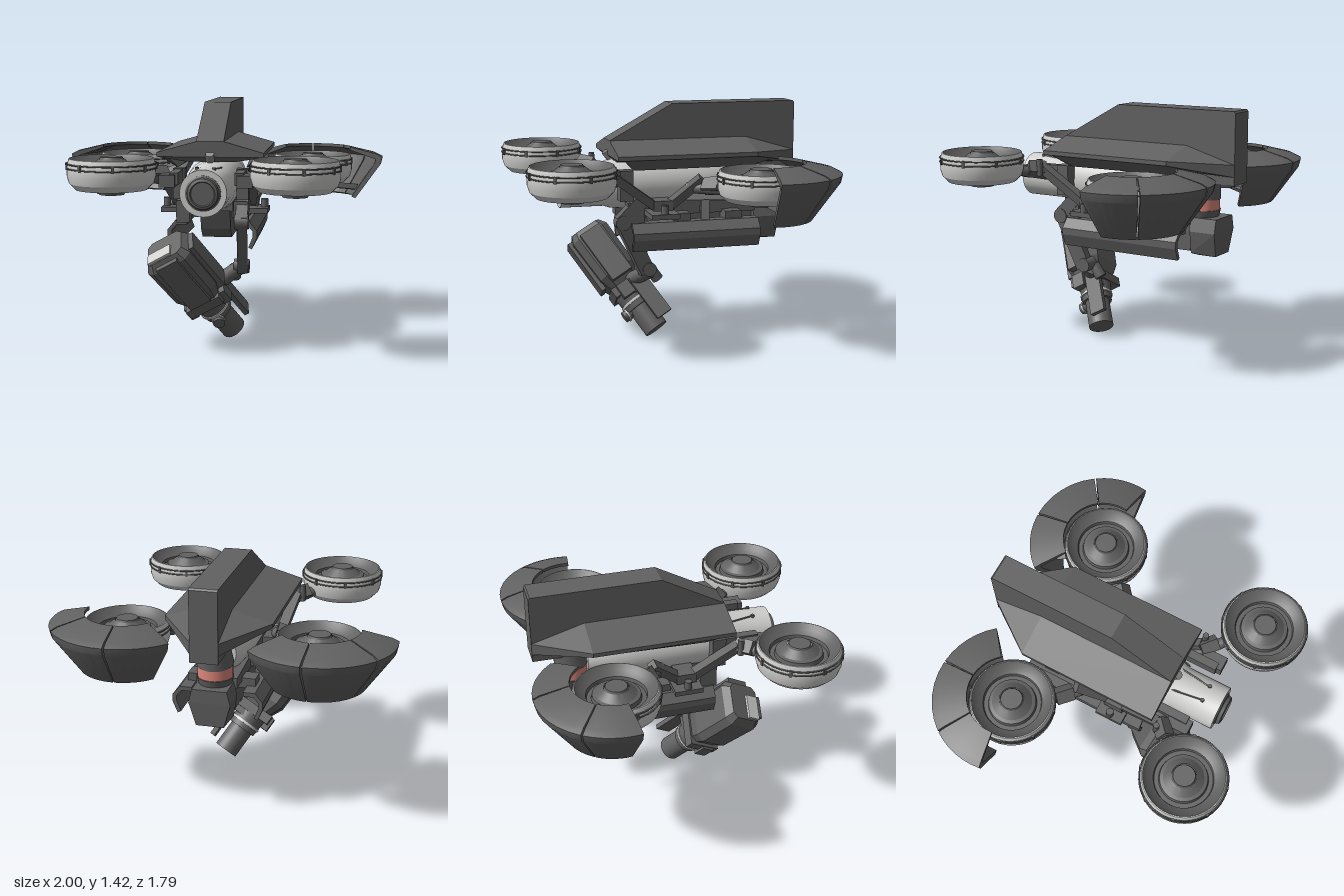
import * as THREE from 'three';
import { toCreasedNormals } from 'three/addons/utils/BufferGeometryUtils.js';
import { ConvexGeometry } from 'three/addons/geometries/ConvexGeometry.js';

const mat = (name, color, side = THREE.FrontSide) => {
  const m = new THREE.MeshStandardMaterial({ color, side });
  m.name = name;
  return m;
};

export function createModel() {
  const root = new THREE.Group();
  root.name = 'drone';
  const dark = mat('darkGrey', 0x616161, THREE.DoubleSide);
  const light = mat('paleGrey', 0xcfcfce);
  const mid = mat('midGrey', 0x8e8e8e);
  const red = mat('salmonRed', 0xdf877b);
  const V = (a) => new THREE.Vector3(...a);
  const DEG = Math.PI / 180;

  // Helpers
  const add = (parent, name, geo, m, pos = [0, 0, 0]) => {
    const mesh = new THREE.Mesh(geo, m);
    mesh.name = name;
    mesh.position.set(...pos);
    parent.add(mesh);
    return mesh;
  };
  const box = (parent, name, m, size, pos) => add(parent, name, new THREE.BoxGeometry(...size), m, pos);
  const hull = (parent, name, m, pts) => add(parent, name, new ConvexGeometry(pts.map(V)), m);
  const aim = (mesh, a, b) => {
    const d = V(b).sub(V(a));
    mesh.quaternion.setFromUnitVectors(new THREE.Vector3(0, 1, 0), d.normalize());
    mesh.position.copy(V(a).add(V(b)).multiplyScalar(0.5));
    return mesh;
  };
  const len = (a, b) => V(a).distanceTo(V(b));
  const beam = (parent, name, m, a, b, w, h) => aim(box(parent, name, m, [w, len(a, b), h], [0, 0, 0]), a, b);
  const rod = (parent, name, m, a, b, r, r2 = r, n = 20) =>
    aim(add(parent, name, new THREE.CylinderGeometry(r2, r, len(a, b), n), m), a, b);
  const lathe = (pts, n = 40, start = 0, span = Math.PI * 2) => toCreasedNormals(
    new THREE.LatheGeometry(pts.map((p) => new THREE.Vector2(...p)), n, start, span), 0.4);
  // Both signs of x for a list of points
  const pair = (pts) => pts.flatMap(([x, y, z]) => [[x, y, z], [-x, y, z]]);
  // Side profile [z, y] swept across the width
  const slab = (parent, name, m, w, prof) => hull(parent, name, m, pair(prof.map(([z, y]) => [w, y, z])));

  // Roof shell and tall tail fin
  hull(root, 'roof', dark, pair([
    [0.08, 1.21, 0.33], [0.31, 1.145, 0.33], [0.31, 1.12, 0.33],
    [0.08, 1.21, -0.51], [0.31, 1.145, -0.51], [0.31, 1.12, -0.51],
    [0.08, 1.12, -0.82], [0.08, 1.05, -0.82], [0.14, 1.09, 0.3]]));
  slab(root, 'fin', dark, 0.08, [[0.33, 1.21], [-0.05, 1.42], [-0.81, 1.42], [-0.82, 1.41], [-0.82, 1.09], [0.33, 1.13]]);
  slab(root, 'finFoot', dark, 0.08, [[-0.5, 1.1], [-0.5, 1.03], [-0.62, 1.0], [-0.82, 1.0], [-0.82, 1.1]]);
  for (const s of [1, -1]) {
    hull(root, 'roofSkirt', dark, [
      [s * 0.31, 1.13, 0.3], [s * 0.27, 1.13, 0.3], [s * 0.2, 1.05, 0.22], [s * 0.22, 1.05, 0.18],
      [s * 0.31, 1.13, -0.51], [s * 0.27, 1.13, -0.51], [s * 0.2, 1.05, -0.5], [s * 0.16, 1.09, -0.7]]);
  }

  // Fuselage and nose camera, turned along z
  const body = new THREE.Group();
  body.name = 'fuselage';
  body.position.y = 0.945;
  body.rotation.x = Math.PI / 2;
  root.add(body);
  add(body, 'fuselageShell', lathe([[0, -0.5], [0.1, -0.5], [0.14, -0.4], [0.155, -0.2], [0.155, 0.2],
    [0.145, 0.32], [0.132, 0.36], [0.132, 0.625], [0.1, 0.625], [0.1, 0.6]]), light);
  add(body, 'lens', lathe([[0.1, 0.58], [0.1, 0.63], [0.09, 0.635], [0.085, 0.655], [0.07, 0.66], [0.065, 0.65], [0, 0.65]]), dark);
  for (const s of [1, -1]) {
    beam(root, 'noseGroove', dark, [s * 0.07, 1.06, 0.33], [s * 0.045, 1.072, 0.52], 0.008, 0.008);
    rod(root, 'noseScrew', dark, [s * 0.047, 1.05, 0.52], [s * 0.047, 1.08, 0.52], 0.011);
  }
  rod(root, 'antennaRoot', mid, [0, 1.1, 0.31], [0, 1.14, 0.34], 0.025);

  // Rear swivel below the fin
  rod(root, 'swivelCap', dark, [0, 0.915, -0.58], [0, 1.04, -0.6], 0.105, 0.085, 32);
  rod(root, 'swivelRing', red, [0, 0.84, -0.58], [0, 0.915, -0.58], 0.1, 0.1, 32);
  rod(root, 'swivelBase', dark, [0, 0.78, -0.58], [0, 0.84, -0.58], 0.09, 0.105, 32);

  // Belly: keel, tail block and side panels
  slab(root, 'keel', dark, 0.09, [[0.1, 0.8], [0.05, 0.66], [-0.02, 0.6], [-0.55, 0.6], [-0.55, 0.8]]);
  slab(root, 'keelDeck', dark, 0.12, [[0.2, 0.86], [0.2, 0.79], [-0.04, 0.76], [-0.56, 0.76], [-0.56, 0.82]]);
  hull(root, 'tailBlock', dark, pair([[0.1, 0.8, -0.55], [0.1, 0.59, -0.56], [0.12, 0.72, -0.56],
    [0.1, 0.8, -0.72], [0.08, 0.58, -0.71], [0.12, 0.72, -0.72], [0.08, 0.58, -0.6]]));
  for (const s of [1, -1]) {
    const hook = new THREE.Shape([[0.15, 0.735], [0.22, 0.735], [0.265, 0.68], [0.265, 0.64], [0.235, 0.57],
      [0.215, 0.58], [0.24, 0.645], [0.24, 0.675], [0.21, 0.71], [0.15, 0.71]].map(([x, y]) => new THREE.Vector2(s * x, y)));
    add(root, 'sidePanel', new THREE.ExtrudeGeometry(hook, { depth: 0.78, bevelEnabled: false }), dark, [0, 0, -0.55]);
    for (const z of [-0.08, -0.4]) box(root, 'panelBracket', dark, [0.14, 0.06, 0.1], [s * 0.13, 0.75, z]);
    box(root, 'sidePad', mid, [0.02, 0.12, 0.05], [s * 0.19, 0.795, -0.225]);
    box(root, 'sidePadArm', dark, [0.1, 0.03, 0.03], [s * 0.13, 0.79, -0.225]);

    // Rotor hinge and its V of beams
    box(root, 'hingePlate', dark, [0.2, 0.03, 0.17], [s * 0.22, 0.785, 0.05]);
    box(root, 'hingeBlock', dark, [0.12, 0.06, 0.12], [s * 0.2, 0.84, 0.05]);
    rod(root, 'hingePin', dark, [s * 0.295, 0.77, 0.05], [s * 0.295, 0.85, 0.05], 0.022);
    beam(root, 'frontBeam', dark, [s * 0.22, 0.84, 0.1], [s * 0.27, 1.03, 0.36], 0.06, 0.05);
    beam(root, 'rearBeam', dark, [s * 0.22, 0.84, 0], [s * 0.3, 1.0, -0.17], 0.06, 0.05);
    box(root, 'forkColumn', dark, [0.07, 0.18, 0.08], [s * 0.185, 0.96, 0.26]);
    box(root, 'forkArm', dark, [0.05, 0.07, 0.24], [s * 0.185, 1.01, 0.38]);
    box(root, 'forkTip', dark, [0.09, 0.07, 0.14], [s * 0.22, 1.0, 0.46]);
    // Struts and joints reaching the rotors
    rod(root, 'frontStrut', dark, [s * 0.2, 0.98, 0.33], [s * 0.36, 1.02, 0.47], 0.032);
    beam(root, 'frontStrutClamp', dark, [s * 0.25, 1.02, 0.36], [s * 0.33, 1.03, 0.43], 0.08, 0.07);
    rod(root, 'frontStrutPin', dark, [s * 0.31, 0.99, 0.36], [s * 0.31, 1.09, 0.36], 0.018);
    rod(root, 'rearStrut', dark, [s * 0.24, 0.94, -0.1], [s * 0.46, 0.95, -0.31], 0.032);
    beam(root, 'rearStrutClamp', dark, [s * 0.32, 0.96, -0.18], [s * 0.4, 0.97, -0.25], 0.08, 0.07);

    // Arm mounts below the deck
    box(root, 'armMount', dark, [0.08, 0.13, 0.1], [s * 0.17, 0.79, 0.2]);
  }

  // Ducted rotors
  const rotor = (x, y, z, name) => {
    const g = new THREE.Group();
    g.name = name;
    g.position.set(x, y, z);
    root.add(g);
    add(g, 'duct', lathe([[0.15, -0.07], [0.165, -0.09], [0.2, -0.085], [0.235, -0.05], [0.247, -0.01],
      [0.247, 0.03], [0.243, 0.065], [0.236, 0.088], [0.23, 0.09]], 48), light);
    add(g, 'intake', lathe([[0.23, 0.09], [0.205, 0.06], [0.17, 0.04], [0.165, 0.02], [0.14, 0.02],
      [0.135, 0.045], [0.115, 0.05], [0.07, 0.085]], 48), dark);
    add(g, 'hubCap', new THREE.CylinderGeometry(0.062, 0.07, 0.02, 32), dark, [0, 0.085, 0]);
    add(g, 'outlet', lathe([[0, -0.115], [0.07, -0.115], [0.08, -0.085], [0.12, -0.07], [0.125, -0.05], [0.16, -0.08]], 48), dark);
    for (const h of [0.035, 0.06]) {
      const ring = add(g, 'ductBand', new THREE.TorusGeometry(0.248, 0.0045, 6, 48), dark, [0, h, 0]);
      ring.rotation.x = Math.PI / 2;
    }
    for (let i = 0; i < 8; i++) {
      const a = (i + 0.3) * Math.PI / 4;
      const clip = box(g, 'ductClip', dark, [0.015, 0.04, 0.012], [Math.sin(a) * 0.248, 0.045, Math.cos(a) * 0.248]);
      clip.rotation.y = a;
    }
  };

  // Curved shield plates behind each rear rotor
  const profile = [[0.235, 1.125], [0.4, 1.085], [0.44, 1.065], [0.43, 1.02], [0.275, 0.8], [0.25, 0.81],
    [0.39, 1.02], [0.4, 1.05], [0.235, 1.105], [0.235, 1.125]];
  for (const s of [1, -1]) {
    rotor(s * 0.51, 1.05, 0.638, 'frontRotor');
    rotor(s * 0.56, 0.99, -0.44, 'rearRotor');
    const shield = new THREE.Group();
    shield.name = 'shield';
    shield.position.set(s * 0.56, 0, -0.46);
    root.add(shield);
    for (const [a, b] of [[82, 124.2], [125.6, 181.6], [183, 230.5]]) {
      const start = (s > 0 ? a : -b) * DEG;
      const span = (b - a) * DEG;
      add(shield, 'shieldPlate', lathe(profile, 6, start, span), dark);
      const cap = new THREE.ShapeGeometry(new THREE.Shape(profile.slice(0, -1).map((p) => new THREE.Vector2(...p))));
      for (const phi of [start, start + span]) add(shield, 'shieldEnd', cap, dark).rotation.y = phi - Math.PI / 2;
      const m = start + span / 2;
      beam(shield, 'shieldStrut', dark, [0, 0.89, 0], [Math.sin(m) * 0.29, 0.86, Math.cos(m) * 0.29], 0.035, 0.025);
    }
  }

  // Hanging arm on the left side
  beam(root, 'upperArm', dark, [0.18, 0.87, 0.16], [0.18, 0.74, 0.29], 0.07, 0.08);
  rod(root, 'armElbow', dark, [0.14, 0.74, 0.28], [0.22, 0.74, 0.28], 0.045);
  beam(root, 'lowerArm', dark, [0.18, 0.75, 0.28], [0.17, 0.43, 0.13], 0.06, 0.09);
  rod(root, 'wrist', dark, [0.12, 0.45, 0.12], [0.21, 0.45, 0.12], 0.042);
  rod(root, 'wristPin', dark, [0.12, 0.44, 0.1], [0.12, 0.37, 0.05], 0.035);
  rod(root, 'wristLink', dark, [0.14, 0.43, 0.1], [0.0, 0.34, 0.2], 0.045);

  // Slanted tool pod; local y runs up from the muzzle
  const pod = new THREE.Group();
  pod.name = 'toolPod';
  pod.position.set(0.11, 0.054, 0.055);
  pod.quaternion.setFromUnitVectors(new THREE.Vector3(0, 1, 0), V([-1, 1.5, 1]).normalize());
  root.add(pod);
  rod(pod, 'muzzle', dark, [0, 0, 0], [0, 0.2, 0], 0.075, 0.075, 28);
  rod(pod, 'collar', dark, [0, 0.17, 0], [0, 0.3, 0], 0.09, 0.1, 28);
  rod(pod, 'paleCollar', light, [0, 0.205, 0], [0, 0.22, 0], 0.1, 0.1, 28);
  box(pod, 'guardPlate', dark, [0.03, 0.3, 0.1], [0.115, 0.18, -0.07]);
  box(pod, 'guardMount', dark, [0.08, 0.08, 0.08], [0.07, 0.28, -0.05]);
  rod(pod, 'sideKnob', dark, [0, 0.17, 0.05], [0, 0.17, 0.12], 0.035);
  rod(pod, 'knobRing', light, [0, 0.17, 0.09], [0, 0.17, 0.1], 0.042);
  box(pod, 'clamp', dark, [0.23, 0.06, 0.21], [-0.01, 0.31, 0]);
  for (const s of [1, -1]) box(pod, 'clampLug', dark, [0.05, 0.09, 0.08], [s * 0.115, 0.29, 0.03]);
  const ring = (y, w, d, c) => [[w, y, d - c], [w - c, y, d], [w, y, c - d], [w - c, y, -d]];
  hull(pod, 'podCase', dark, pair([...ring(0.33, 0.1, 0.09, 0.03), ...ring(0.42, 0.14, 0.12, 0.04),
    ...ring(0.7, 0.145, 0.125, 0.04), ...ring(0.75, 0.115, 0.1, 0.03)]));
  box(pod, 'podRidge', dark, [0.14, 0.36, 0.03], [0, 0.55, 0.13]);
  box(pod, 'podSpine', dark, [0.05, 0.34, 0.14], [0.145, 0.54, 0]);
  box(pod, 'paleTopPlate', light, [0.15, 0.03, 0.08], [-0.03, 0.75, 0.05]);
  return root;
}
